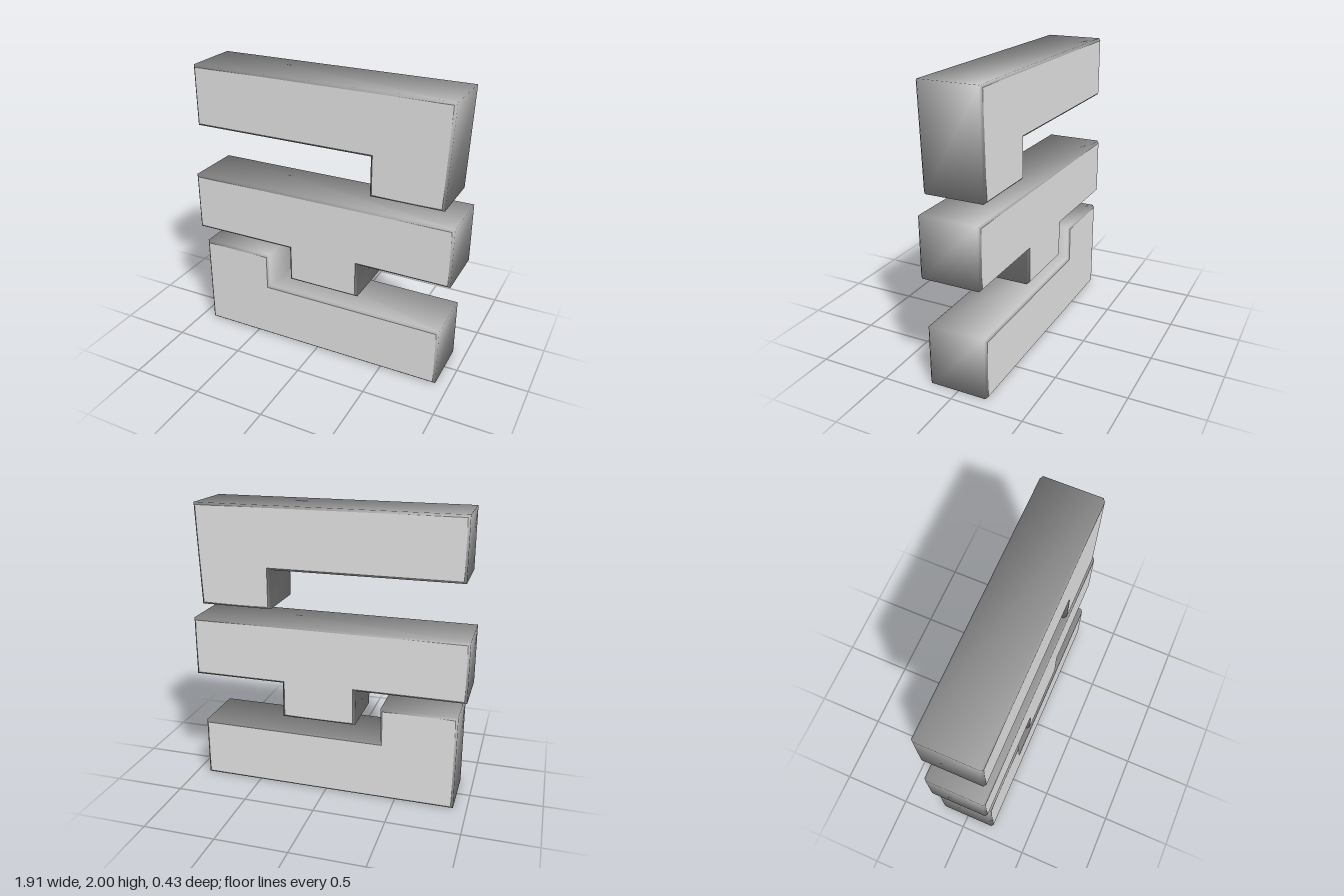
import * as THREE from 'three';
import { mergeGeometries, toCreasedNormals } from 'three/addons/utils/BufferGeometryUtils.js';

const DEPTH = 0.426;
const BEVEL = 0.015;

// Copy a run of vertices into a position-only geometry
function slice(geometry, { start, count }) {
  const part = new THREE.BufferGeometry();
  const points = geometry.attributes.position.array.slice(start * 3, (start + count) * 3);
  part.setAttribute('position', new THREE.BufferAttribute(points, 3));
  return part;
}

// Chamfered slab: flat front and back (group 0), rim shaded smoothly all the way round (group 1)
function slabGeometry(outline) {
  const shape = new THREE.Shape(outline.map(([x, y]) => new THREE.Vector2(x, y)));
  const raw = new THREE.ExtrudeGeometry(shape, {
    depth: DEPTH - 2 * BEVEL,
    bevelEnabled: true,
    bevelSize: BEVEL,
    bevelThickness: BEVEL,
    bevelOffset: -BEVEL,
    bevelSegments: 1,
  });
  raw.translate(0, 0, BEVEL - DEPTH / 2);
  const [caps, rim] = raw.groups.map((group) => slice(raw, group));
  caps.computeVertexNormals();
  return mergeGeometries([caps, toCreasedNormals(rim, Math.PI)], true);
}

// Outlines in x, y, counter-clockwise
const slabs = {
  // Bar with a foot hanging from its left end
  topSlab: [
    [-0.908, 1.577], [0.385, 1.577], [0.385, 1.307], [0.882, 1.307], [0.908, 2], [-0.908, 2],
  ],
  // Bar with a tab below its middle
  middleSlab: [
    [-0.957, 0.783], [-0.21, 0.783], [-0.21, 0.531], [0.311, 0.531],
    [0.311, 0.783], [0.957, 0.783], [0.957, 1.2], [-0.957, 1.2],
  ],
  // Bar with a raised block on its right end
  bottomSlab: [
    [-0.908, 0], [0.908, 0], [0.908, 0.425], [-0.386, 0.425], [-0.386, 0.675], [-0.908, 0.675],
  ],
};

export function createModel() {
  const faceGrey = new THREE.MeshStandardMaterial({ color: 0xe6e6e6 });
  faceGrey.name = 'light grey face';
  const rimGrey = new THREE.MeshStandardMaterial({ color: 0x999999 });
  rimGrey.name = 'mid grey rim';

  const model = new THREE.Group();
  model.name = 'steppedSlabs';
  for (const [name, outline] of Object.entries(slabs)) {
    const mesh = new THREE.Mesh(slabGeometry(outline), [faceGrey, rimGrey]);
    mesh.name = name;
    model.add(mesh);
  }
  return model;
}
